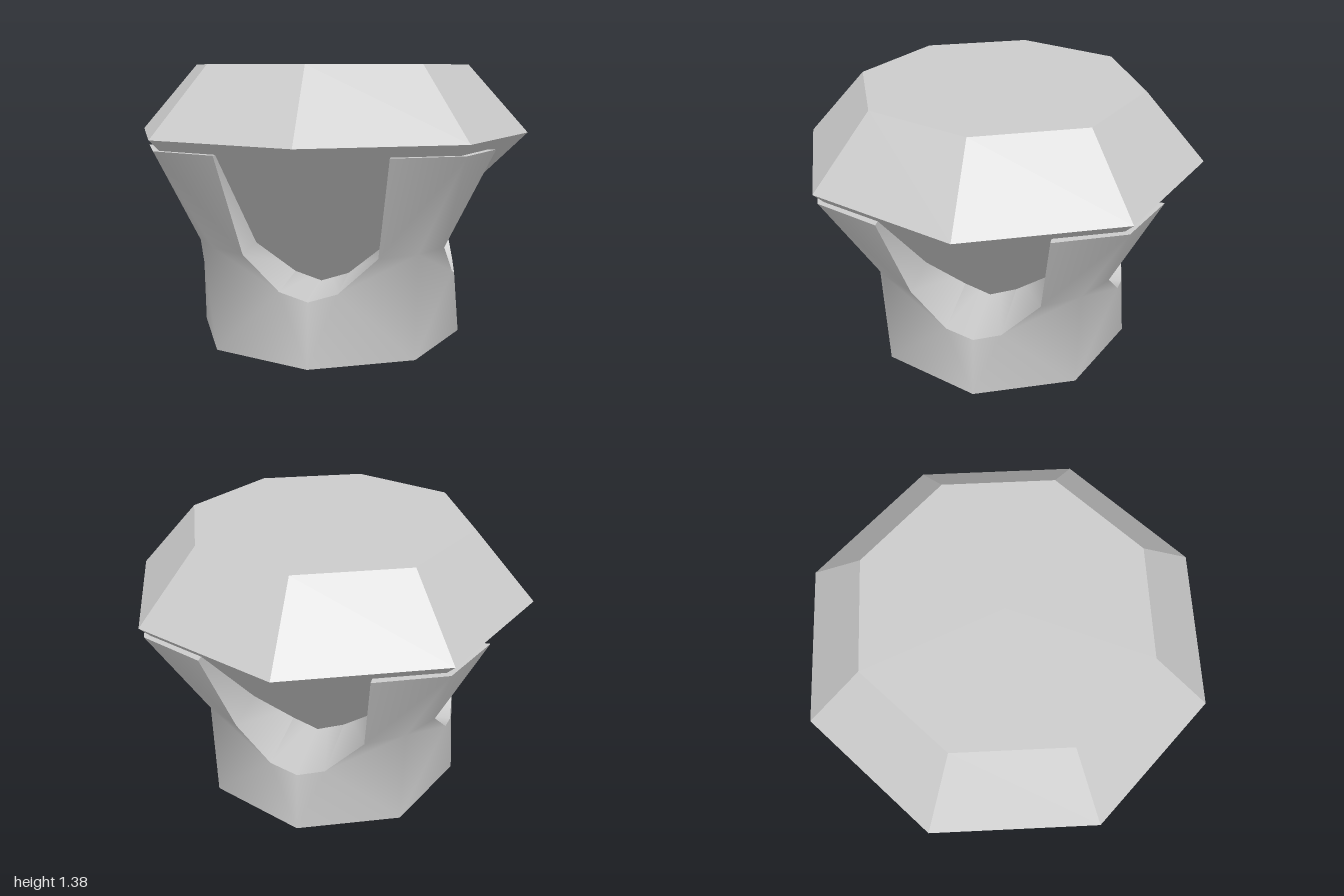
import * as THREE from 'three';
import { toCreasedNormals } from 'three/addons/utils/BufferGeometryUtils.js';

// Faceted stone: pavilion point, girdle, crown and flat table
function makeGem() {
  const profile = [[0, 0.05], [1, 1.04], [0.7, 1.375], [0, 1.375]].map(([r, y]) => new THREE.Vector2(r, y));
  const material = new THREE.MeshStandardMaterial({ color: 0xcccccc, flatShading: true });
  const gem = new THREE.Mesh(new THREE.LatheGeometry(profile, 8), material);
  gem.name = 'gem';
  return gem;
}

// Cup with four prongs: one eighth is described, then mirrored and turned
function makeSetting() {
  const p = {
    top: [0.98, 0.99, 0], topSide: [0.853, 0.99, 0.32],           // prong tip
    mid: [0.69, 0.51, 0], midSide: [0.648, 0.51, 0.205],          // prong foot
    notchSide: [0.55, 0.35, 0.36], notch: [0.463, 0.31, 0.463],   // notch floor
    base: [0.68, 0, 0], baseSide: [0.481, 0, 0.481], centre: [0, 0, 0],
  };
  // Notch outline carried inward along the diagonal until it meets its mirror image
  const inward = ([x, y, z]) => [x - z, y, 0];
  const rim = [p.topSide, p.midSide, p.notchSide, p.notch];

  const tris = [
    [p.top, p.topSide, p.midSide], [p.top, p.midSide, p.mid],     // prong outside
    [p.mid, p.midSide, p.notchSide], [p.mid, p.notchSide, p.base], // cup wall
    [p.notchSide, p.baseSide, p.base], [p.notchSide, p.notch, p.baseSide],
    [p.top, inward(p.topSide), p.topSide],                        // prong top
    [p.centre, p.base, p.baseSide],                               // underside
  ];
  for (let i = 0; i < rim.length - 1; i++) {                      // notch walls and floor
    const a = rim[i], b = rim[i + 1];
    tris.push([a, inward(a), inward(b)]);
    if (i < rim.length - 1) tris.push([a, inward(b), b]);
  }

  const mirror = ([x, y, z]) => [x, y, -z];
  const quarter = tris.concat(tris.map(([a, b, c]) => [mirror(a), mirror(c), mirror(b)]));
  const positions = [];
  const turn = ([x, y, z]) => [z, y, -x];
  let current = quarter;
  for (let k = 0; k < 4; k++) {
    positions.push(...current.flat(2));
    current = current.map((t) => t.map(turn));
  }

  const geometry = new THREE.BufferGeometry();
  geometry.setAttribute('position', new THREE.Float32BufferAttribute(positions, 3));
  const material = new THREE.MeshStandardMaterial({ color: 0xcccccc });
  const setting = new THREE.Mesh(toCreasedNormals(geometry, 0.9), material);
  setting.name = 'prongSetting';
  return setting;
}

export function createModel() {
  const model = new THREE.Group();
  model.name = 'gemInSetting';
  model.add(makeGem(), makeSetting());
  return model;
}
